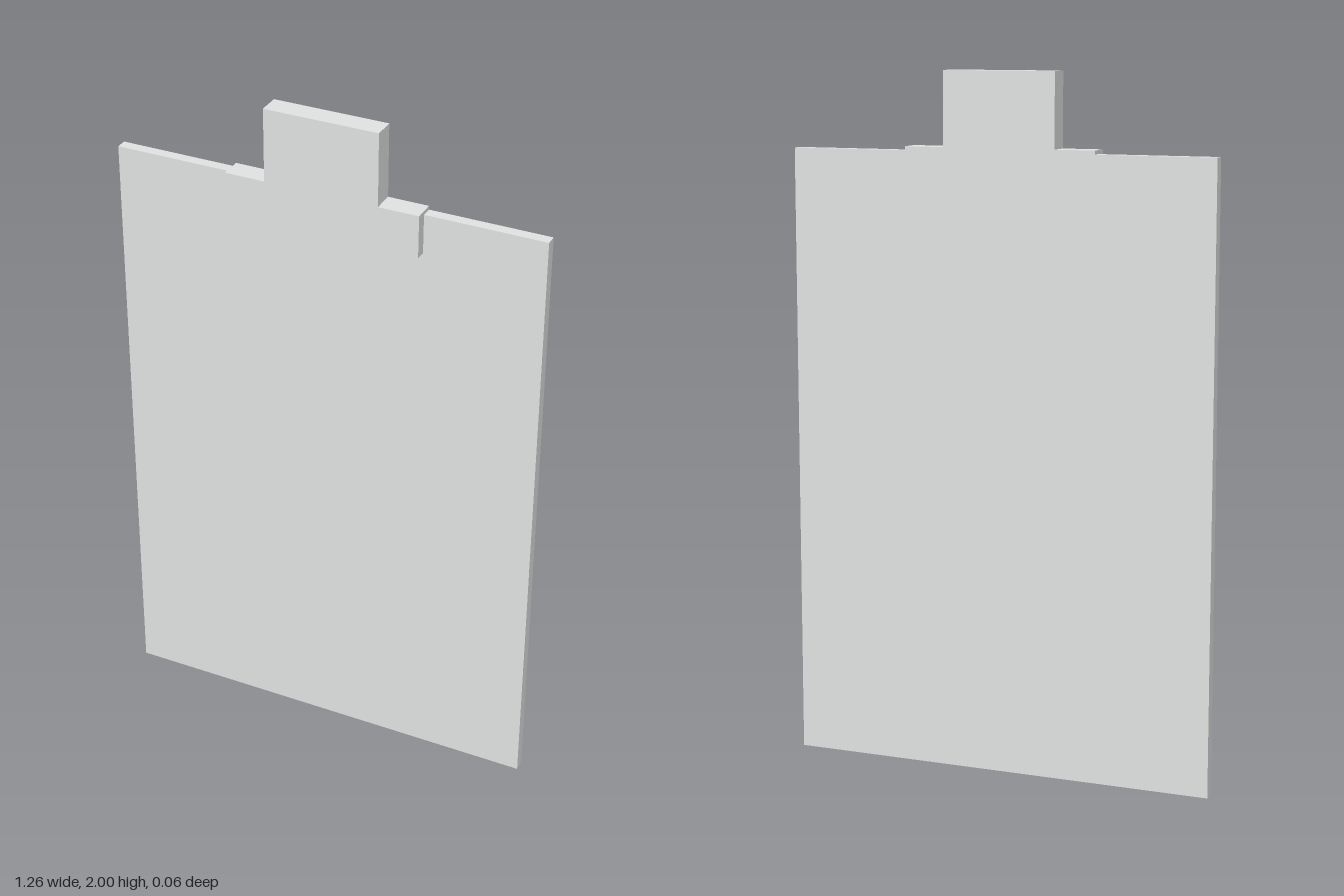
import * as THREE from 'three';

export function createModel() {
  const group = new THREE.Group();
  const grey = new THREE.MeshStandardMaterial({ color: 0xe1e4e2 });
  grey.name = 'pale grey';

  const BACK = -0.032, MID = 0, FRONT = 0.032;
  const BOARD_TOP = 1.777, SHOULDER = 1.788;

  // Box given by half width, height range and depth range
  function slab(name, halfWidth, y0, y1, z0, z1) {
    const mesh = new THREE.Mesh(new THREE.BoxGeometry(halfWidth * 2, y1 - y0, z1 - z0), grey);
    mesh.position.set(0, (y0 + y1) / 2, (z0 + z1) / 2);
    mesh.name = name;
    group.add(mesh);
  }

  // Thin backing board
  slab('board', 0.63, 0, BOARD_TOP, BACK, MID);

  // Clip lip lying on the front of the board
  slab('clipLip', 0.283, 1.664, BOARD_TOP, MID, FRONT);

  // Stepped clip head over the board's top edge, full depth
  const right = [[0.283, BOARD_TOP], [0.283, SHOULDER], [0.166, SHOULDER], [0.166, 2]];
  const left = right.map(([x, y]) => [-x, y]).reverse();
  const outline = [...right, ...left].map(([x, y]) => new THREE.Vector2(x, y));
  const head = new THREE.Mesh(
    new THREE.ExtrudeGeometry(new THREE.Shape(outline), { depth: FRONT - BACK, bevelEnabled: false }),
    grey
  );
  head.position.z = BACK;
  head.name = 'clipHead';
  group.add(head);

  return group;
}
